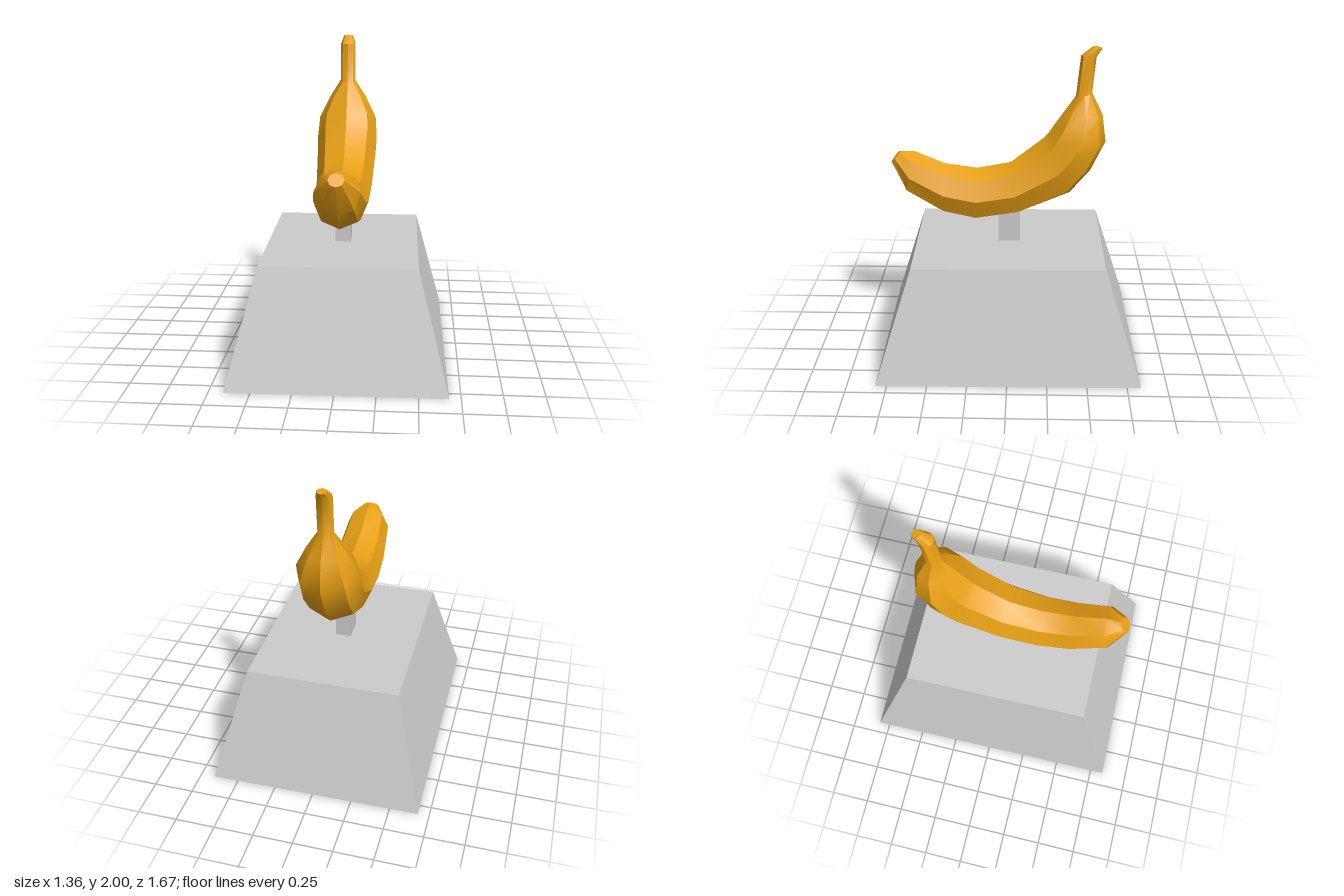
import * as THREE from 'three';
import { toCreasedNormals } from 'three/addons/utils/BufferGeometryUtils.js';

const SIDES = 8;

// Rings of the fruit, tip to stem: outer z, outer y, inner z, inner y, half width
const RINGS = [
  [0.755, 1.25, 0.695, 1.32, 0.05],
  [0.66, 1.05, 0.60, 1.32, 0.14],
  [0.42, 0.905, 0.41, 1.24, 0.16],
  [0.215, 0.86, 0.205, 1.21, 0.17],
  [-0.06, 0.905, -0.01, 1.25, 0.18],
  [-0.39, 1.045, -0.22, 1.415, 0.195],
  [-0.52, 1.20, -0.25, 1.45, 0.2],
  [-0.61, 1.39, -0.29, 1.51, 0.19],
  [-0.585, 1.57, -0.36, 1.61, 0.12],
  [-0.515, 1.71, -0.415, 1.69, 0.05],
  [-0.535, 1.935, -0.44, 1.945, 0.05],
  [-0.57, 1.99, -0.51, 2.0, 0.03],
];

// Skin of octagonal rings with flat caps at both ends
function bananaGeometry() {
  const positions = [];
  const index = [];
  for (const [oz, oy, iz, iy, w] of RINGS) {
    for (let s = 0; s < SIDES; s++) {
      const a = (s / SIDES) * Math.PI * 2;
      const t = (1 - Math.cos(a)) / 2; // 0 on the outer curve, 1 on the inner
      positions.push(w * Math.sin(a), oy + (iy - oy) * t, oz + (iz - oz) * t);
    }
  }
  const last = (RINGS.length - 1) * SIDES;
  for (let r = 0; r < last; r += SIDES) {
    for (let s = 0; s < SIDES; s++) {
      const n = (s + 1) % SIDES;
      const a = r + s, b = r + n, c = a + SIDES, d = b + SIDES;
      index.push(a, c, b, b, c, d);
    }
  }
  for (let s = 1; s < SIDES - 1; s++) {
    index.push(0, s, s + 1);
    index.push(last, last + s + 1, last + s);
  }
  const geometry = new THREE.BufferGeometry();
  geometry.setAttribute('position', new THREE.Float32BufferAttribute(positions, 3));
  geometry.setIndex(index);
  return toCreasedNormals(geometry, 0.6);
}

// Box whose upper face shrinks to the given size
function taperedBox(width, height, depth, topWidth, topDepth) {
  const geometry = new THREE.BoxGeometry(width, height, depth);
  const p = geometry.attributes.position;
  for (let i = 0; i < p.count; i++) {
    if (p.getY(i) > 0) {
      p.setX(i, Math.sign(p.getX(i)) * topWidth / 2);
      p.setZ(i, Math.sign(p.getZ(i)) * topDepth / 2);
    }
  }
  geometry.translate(0, height / 2, 0);
  geometry.computeVertexNormals();
  return geometry;
}

export function createModel() {
  const grey = new THREE.MeshStandardMaterial({ color: 0xcccccc });
  const yellow = new THREE.MeshStandardMaterial({ color: 0xe69f14 });
  const model = new THREE.Group();
  model.name = 'bananaOnPedestal';

  const add = (name, geometry, material) => {
    const mesh = new THREE.Mesh(geometry, material);
    mesh.name = name;
    model.add(mesh);
  };

  add('pedestal', taperedBox(1.34, 0.72, 1.66, 0.965, 1.205), grey);
  add('post', new THREE.BoxGeometry(0.1, 0.24, 0.14).translate(0, 0.83, 0), grey);
  add('banana', bananaGeometry(), yellow);

  // The whole piece is turned very slightly
  model.rotation.y = 0.011;
  return model;
}
